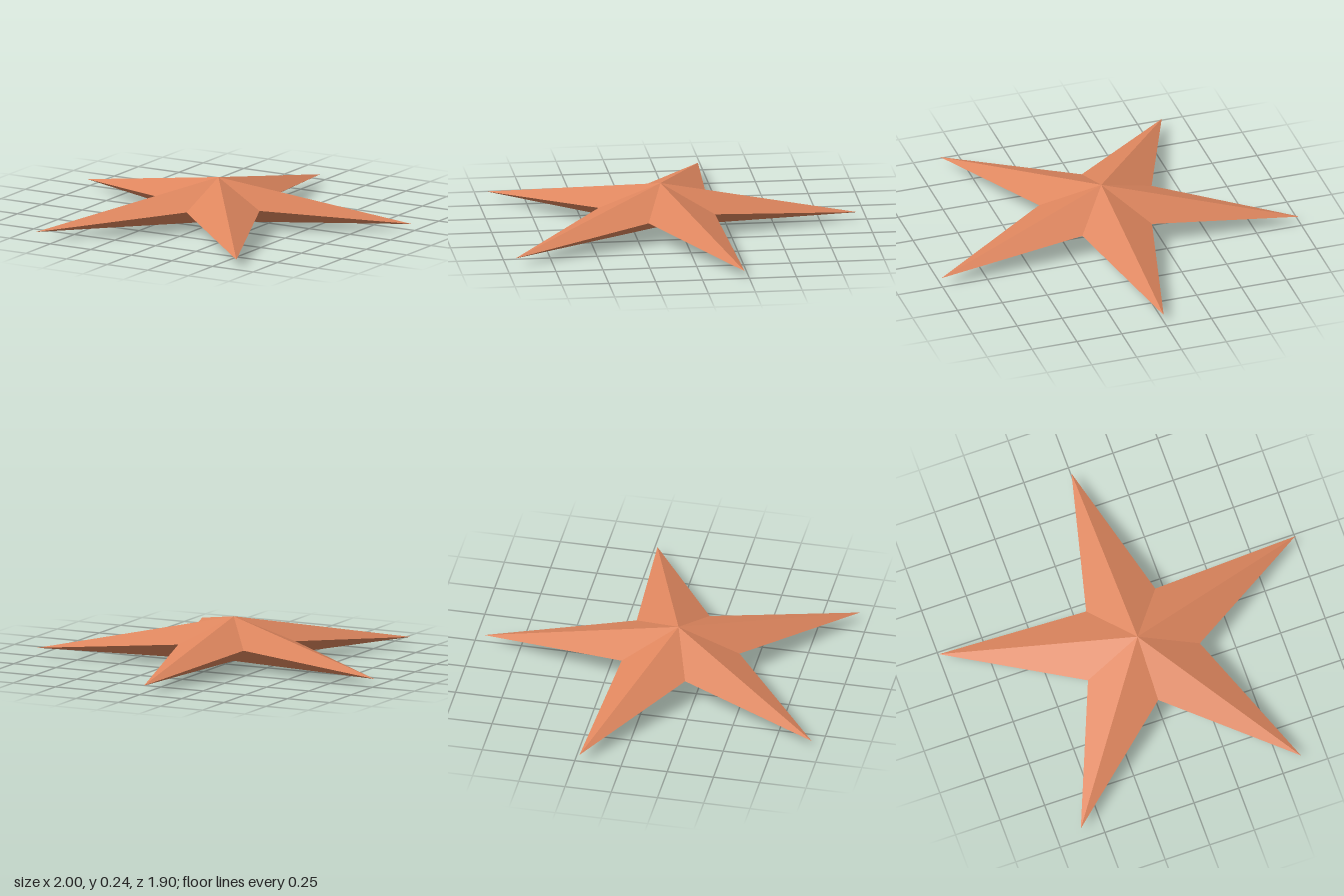
import * as THREE from 'three';

const POINTS = 5;
const CENTRE_Z = 0.1;

// Rim corner i: even corners are arm tips, odd corners are the raised notches
function rimCorner(i) {
  const tip = i % 2 === 0;
  const radius = tip ? 1.051 : 0.33;
  const angle = (i * Math.PI) / POINTS;
  return [radius * Math.sin(angle), tip ? 0.04 : 0.115, CENTRE_Z - radius * Math.cos(angle)];
}

// Fan of flat facets from a central peak out to the rim
function starFan(peakY, facesUp) {
  const peak = [0, peakY, CENTRE_Z];
  const positions = [];
  for (let i = 0; i < POINTS * 2; i++) {
    const a = rimCorner(i);
    const b = rimCorner((i + 1) % (POINTS * 2));
    positions.push(...peak, ...(facesUp ? b : a), ...(facesUp ? a : b));
  }
  const geometry = new THREE.BufferGeometry();
  geometry.setAttribute('position', new THREE.Float32BufferAttribute(positions, 3));
  geometry.computeVertexNormals();
  return geometry;
}

export function createModel() {
  const group = new THREE.Group();
  group.name = 'star';

  const coral = new THREE.MeshStandardMaterial({ color: 0xde865e, flatShading: true });
  coral.name = 'coral';

  // Tall ridged top and shallow underside share the same rim
  const top = new THREE.Mesh(starFan(0.24, true), coral);
  top.name = 'starTop';
  const underside = new THREE.Mesh(starFan(0, false), coral);
  underside.name = 'starUnderside';

  group.add(top, underside);
  return group;
}
